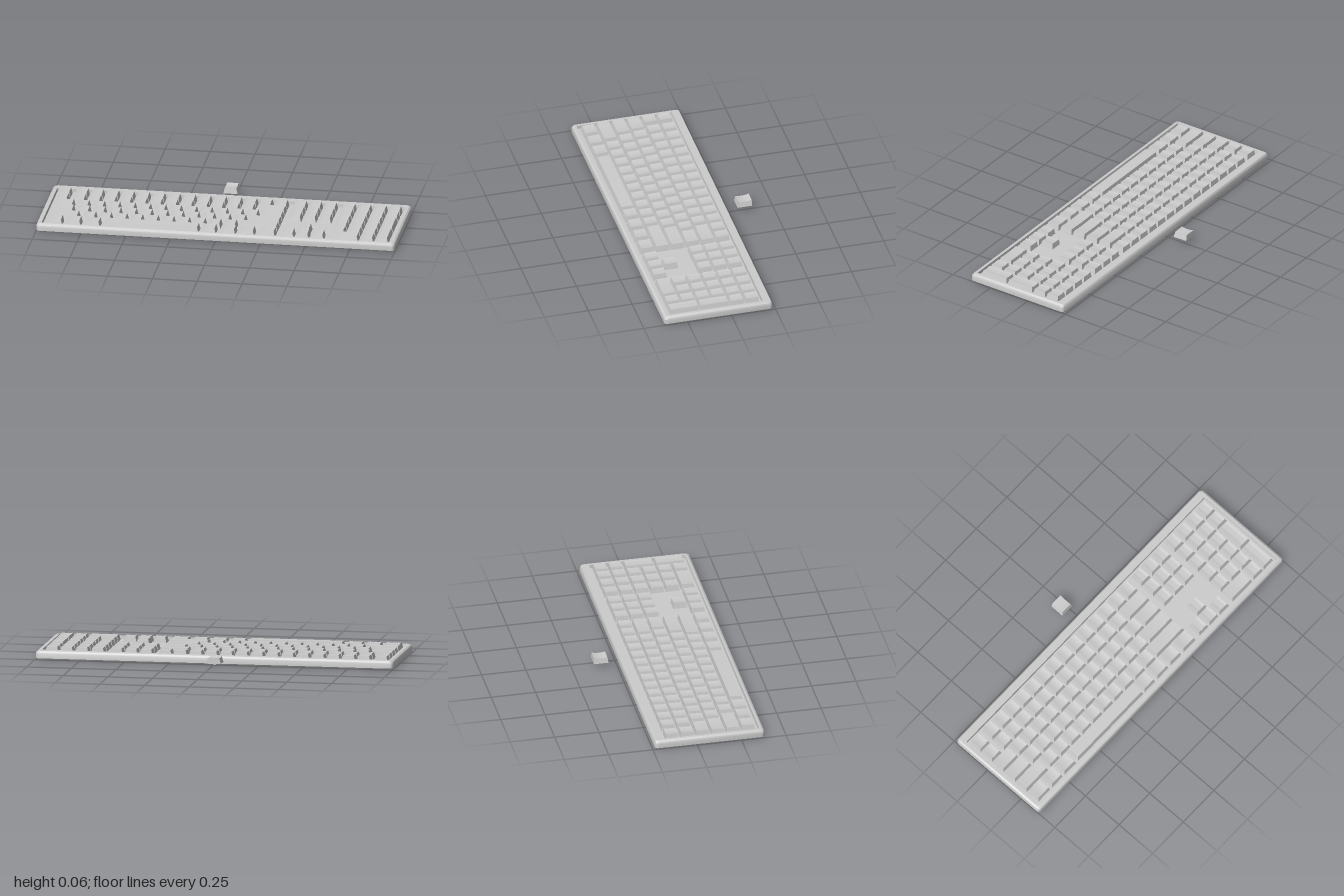
import * as THREE from 'three';
import { toCreasedNormals } from 'three/addons/utils/BufferGeometryUtils.js';

const material = new THREE.MeshStandardMaterial({ color: 0xcccccc });
const shellMaterial = new THREE.MeshStandardMaterial({ color: 0xcccccc, side: THREE.DoubleSide });
const FLOOR = 0.028, KEY_H = 0.034;

// Rounded-rectangle ring of points at height y
function ring([hx, back, front, r, y]) {
  const pts = [], hz = (front - back) / 2, cz = (front + back) / 2;
  for (let c = 0; c < 4; c++) {
    const sx = c === 0 || c === 3 ? 1 : -1, sz = c < 2 ? 1 : -1;
    for (let i = 0; i <= 4; i++) {
      const a = (c + i / 4) * Math.PI / 2;
      pts.push(sx * (hx - r) + r * Math.cos(a), y, cz + sz * (hz - r) + r * Math.sin(a));
    }
  }
  return pts;
}

// Skin a series of rings
function loft(sections) {
  const pos = sections.flatMap(ring), index = [], n = 20;
  for (let i = 0; i < sections.length - 1; i++) {
    for (let j = 0; j < n; j++) {
      const a = i * n + j, b = i * n + (j + 1) % n;
      index.push(a, a + n, b, b, a + n, b + n);
    }
  }
  const g = new THREE.BufferGeometry();
  g.setAttribute('position', new THREE.Float32BufferAttribute(pos, 3));
  g.setIndex(index);
  return toCreasedNormals(g, 0.5);
}

// Tapered keycap with a dished top; the dish curves along x or z
function keyGeometry(w, d, { axis = 'x', dish = 0.003, side = 0.008, front = 0.008, back = 0.004, open = false } = {}) {
  const g = new THREE.BoxGeometry(w, KEY_H, d, axis === 'x' ? 6 : 1, 1, axis === 'z' ? 6 : 1);
  if (open) { // leave out the underside
    const bottom = g.groups[3], idx = Array.from(g.index.array);
    idx.splice(bottom.start, bottom.count);
    g.setIndex(idx);
  }
  g.clearGroups();
  const p = g.attributes.position;
  for (let i = 0; i < p.count; i++) {
    const x = p.getX(i), z = p.getZ(i);
    if (p.getY(i) < 0) { p.setY(i, 0); continue; }
    const t = axis === 'x' ? 2 * x / w : 2 * z / d;
    p.setXYZ(i, x * (1 - 2 * side / w), KEY_H - dish * (1 - t * t) - 0.002 * (0.5 + z / d),
      -d / 2 + back + (z + d / 2) * (d - front - back) / d);
  }
  return toCreasedNormals(g, 0.5);
}

export function createModel() {
  const model = new THREE.Group();
  const add = (parent, name, geometry, x = 0, y = 0, z = 0, mat = material) => {
    const m = new THREE.Mesh(geometry, mat);
    m.name = name;
    m.position.set(x, y, z);
    parent.add(m);
    return m;
  };

  // Case: underside, walls, bevelled rim and sunken key tray
  add(model, 'case', loft([
    [0, 0.07, 0.07, 0, 0],
    [0.994, -0.233, 0.375, 0.015, 0],
    [1, -0.237, 0.381, 0.02, 0.006],
    [1, -0.236, 0.381, 0.02, 0.032],
    [0.996, -0.233, 0.377, 0.02, 0.041],
    [0.987, -0.228, 0.367, 0.016, 0.047],
    [0.971, -0.186, 0.355, 0.006, 0.047],
    [0.969, -0.184, 0.353, 0.004, FLOOR],
    [0, 0.07, 0.07, 0, FLOOR],
  ]));

  const keys = new THREE.Group();
  keys.name = 'keys';
  model.add(keys);
  const U = 0.0862, D = 0.079, GAP = 0.009;
  const rowZ = r => -0.131 + r * 0.0859;
  // Key between two x edges, spanning one or more rows
  const key = (name, x0, x1, row, rows = 1, opts) =>
    add(keys, name, keyGeometry(x1 - x0, D + (rows - 1) * 0.0859, opts),
      (x0 + x1) / 2, FLOOR, rowZ(row + (rows - 1) / 2));
  const run = (name, x0, pitch, count, row) => {
    for (let i = 0; i < count; i++) key(name, x0 + i * pitch, x0 + (i + 1) * pitch - GAP, row);
  };

  // Main block: wide left key, run of single keys, wide right key
  const L = -0.96, R = 0.326;
  run('functionKey', L, U, 1, 0);
  run('functionKey', -0.863, 0.0855, 14, 0);
  run('numberKey', L, U, 1, 1);
  run('numberKey', -0.863, 0.0855, 12, 1);
  key('wideKey', 0.166, R, 1);
  [[-0.839, -0.829, 12, 0.198], [-0.825, -0.814, 11, 0.143], [-0.783, -0.766, 10, 0.105]].forEach(([leftEnd, start, count, rightStart], i) => {
    key('wideKey', L, leftEnd, i + 2);
    run('letterKey', start, (rightStart - start) / count, count, i + 2);
    key('wideKey', rightStart, R, i + 2);
  });

  // Bottom row
  [[-0.955, -0.86], [-0.846, -0.757], [-0.743, -0.65], [-0.09, -0.004],
    [0.015, 0.105], [0.122, 0.21], [0.229, R]].forEach(([a, b]) => key('modifierKey', a, b, 5));
  key('spaceBar', -0.632, -0.101, 5, 1, { dish: 0 });

  // Navigation block and arrows
  for (const row of [0, 1, 2, 5]) run(row === 5 ? 'arrowKey' : 'navigationKey', 0.356, 0.0835, 3, row);
  key('arrowKey', 0.436, 0.51, 4);

  // Number pad
  const padX = [0.626, 0.714, 0.8, 0.882], padW = 0.075;
  for (let row = 0; row < 5; row++) {
    padX.slice(0, row < 2 ? 4 : 3).forEach(x => key('padKey', x, x + padW, row));
  }
  key('padTallKey', padX[3], padX[3] + padW, 2, 2);
  key('padTallKey', padX[3], padX[3] + padW, 4, 2);
  key('padWideKey', padX[0], padX[1] + padW, 5);
  key('padKey', padX[2], padX[2] + padW, 5);

  // Loose keycap behind the case, hollow with a ribbed stem
  const loose = new THREE.Group();
  loose.name = 'looseKey';
  loose.position.set(-0.024, FLOOR, -0.3395);
  model.add(loose);
  add(loose, 'looseKeyCap', keyGeometry(0.08, 0.083,
    { axis: 'z', dish: 0.005, front: 0.006, back: 0.001, open: true }), 0, 0, 0, shellMaterial);
  add(loose, 'looseKeyStem', new THREE.CylinderGeometry(0.008, 0.008, 0.038, 16), 0, 0.007, 0);
  add(loose, 'looseKeyRib', new THREE.BoxGeometry(0.068, 0.022, 0.004), 0, 0.014, 0);
  add(loose, 'looseKeyRib', new THREE.BoxGeometry(0.004, 0.022, 0.074), 0, 0.014, 0);
  return model;
}
